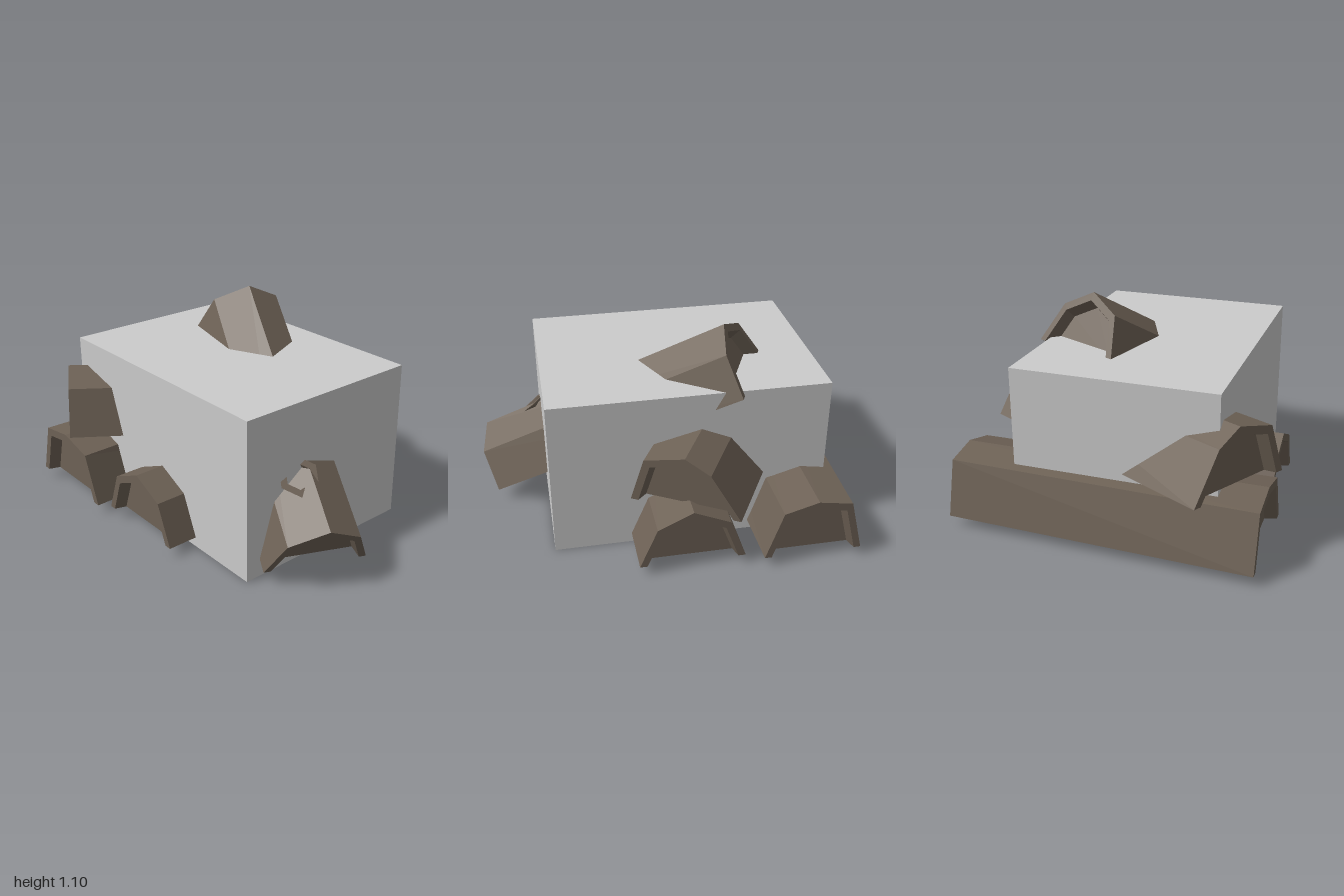
import * as THREE from 'three';

const V = (x, y, z) => new THREE.Vector3(x, y, z);

// Flat-bottomed log: five-point arch swept from front to back, with a recessed panel in each end
function logGeometry(arch, length, taper) {
  const ring = (scale, z, t) => arch.map(([x, y]) => V(x * scale * t, y * scale, z));
  const rim = 0.86, panel = 0.79, depth = 0.06;
  const rings = [
    ring(panel, -depth, 1), ring(rim, 0, 1), ring(1, 0, 1),
    ring(1, -length, taper), ring(rim, -length, taper), ring(panel, depth - length, taper),
  ];
  const out = [];
  const tri = (...points) => points.forEach((p) => out.push(p.x, p.y, p.z));
  const quad = (a, b, c, d) => { tri(a, b, c); tri(a, c, d); };
  const n = arch.length - 1;

  // Recess walls, rims and bark
  for (let r = 0; r < rings.length - 1; r++) {
    const A = rings[r], B = rings[r + 1];
    for (let k = 0; k < n; k++) quad(A[k], A[k + 1], B[k + 1], B[k]);
  }
  // End panels
  const first = rings[0], last = rings[5];
  for (let k = 1; k < n; k++) {
    tri(first[0], first[k + 1], first[k]);
    tri(last[0], last[k], last[k + 1]);
  }
  // Underside with the rim legs
  const L = rings.map((r) => r[0]), R = rings.map((r) => r[n]);
  quad(L[0], L[5], R[5], R[0]);
  quad(L[0], L[1], L[2], L[3]);
  quad(L[0], L[3], L[4], L[5]);
  quad(R[3], R[2], R[1], R[0]);
  quad(R[5], R[4], R[3], R[0]);

  const geometry = new THREE.BufferGeometry();
  geometry.setAttribute('position', new THREE.Float32BufferAttribute(out, 3));
  geometry.computeVertexNormals();
  return geometry;
}

export function createModel() {
  const group = new THREE.Group();
  const stone = new THREE.MeshStandardMaterial({ color: 0xcccccc });
  stone.name = 'light grey';
  const wood = new THREE.MeshStandardMaterial({ color: 0x6e6256, flatShading: true, side: THREE.DoubleSide });
  wood.name = 'brown wood';

  // Central block
  const block = new THREE.Mesh(new THREE.BoxGeometry(1.42, 0.845, 1.03), stone);
  block.name = 'block';
  block.position.set(-0.04, 0.4225, 0.045);
  group.add(block);

  // Logs run between the middles of their bottom edges
  function addLog(name, front, back, arch, taper = 1) {
    const mesh = new THREE.Mesh(logGeometry(arch, front.distanceTo(back), taper), wood);
    mesh.name = name;
    const z = front.clone().sub(back).normalize();
    const x = V(0, 1, 0).cross(z).normalize();
    const y = z.clone().cross(x);
    mesh.quaternion.setFromRotationMatrix(new THREE.Matrix4().makeBasis(x, y, z));
    mesh.position.copy(front);
    group.add(mesh);
  }
  const broad = [[-0.29, 0], [-0.21, 0.28], [-0.01, 0.31], [0.19, 0.26], [0.29, 0]];
  const pointed = [[-0.27, 0], [-0.19, 0.215], [0, 0.3], [0.18, 0.215], [0.27, 0]];
  const crooked = [[-0.285, 0], [-0.13, 0.235], [0, 0.305], [0.21, 0.25], [0.285, 0]];
  const slanted = [[-0.26, 0], [-0.18, 0.225], [0.01, 0.31], [0.18, 0.215], [0.26, 0]];

  addLog('sideLog', V(-0.61, 0.053, 0.77), V(-0.61, 0.053, -0.79), broad, 0.87);
  addLog('middleLog', V(0, 0.053, 0.72), V(0, 0.053, -0.745), pointed);
  addLog('diagonalLog', V(-0.75, 0.4, 0.66), V(0.035, 0.335, -0.69), crooked);
  addLog('slantedLog', V(0.835, 0.06, 0.27), V(-0.39, 0.83, -0.29), slanted);

  // Hollow branch stub on the slanted log
  const profile = [[0.075, -0.14], [0.08, -0.05], [0.105, 0], [0.068, 0], [0.055, -0.05], [0, -0.05]];
  const stub = new THREE.Mesh(
    new THREE.LatheGeometry(profile.map(([r, y]) => new THREE.Vector2(r, y)), 6), wood);
  stub.name = 'branchStub';
  stub.position.set(0.7, 0.48, 0.265);
  stub.quaternion.setFromUnitVectors(V(0, 1, 0), V(0.6, 0.73, 0.3).normalize());
  group.add(stub);

  return group;
}
